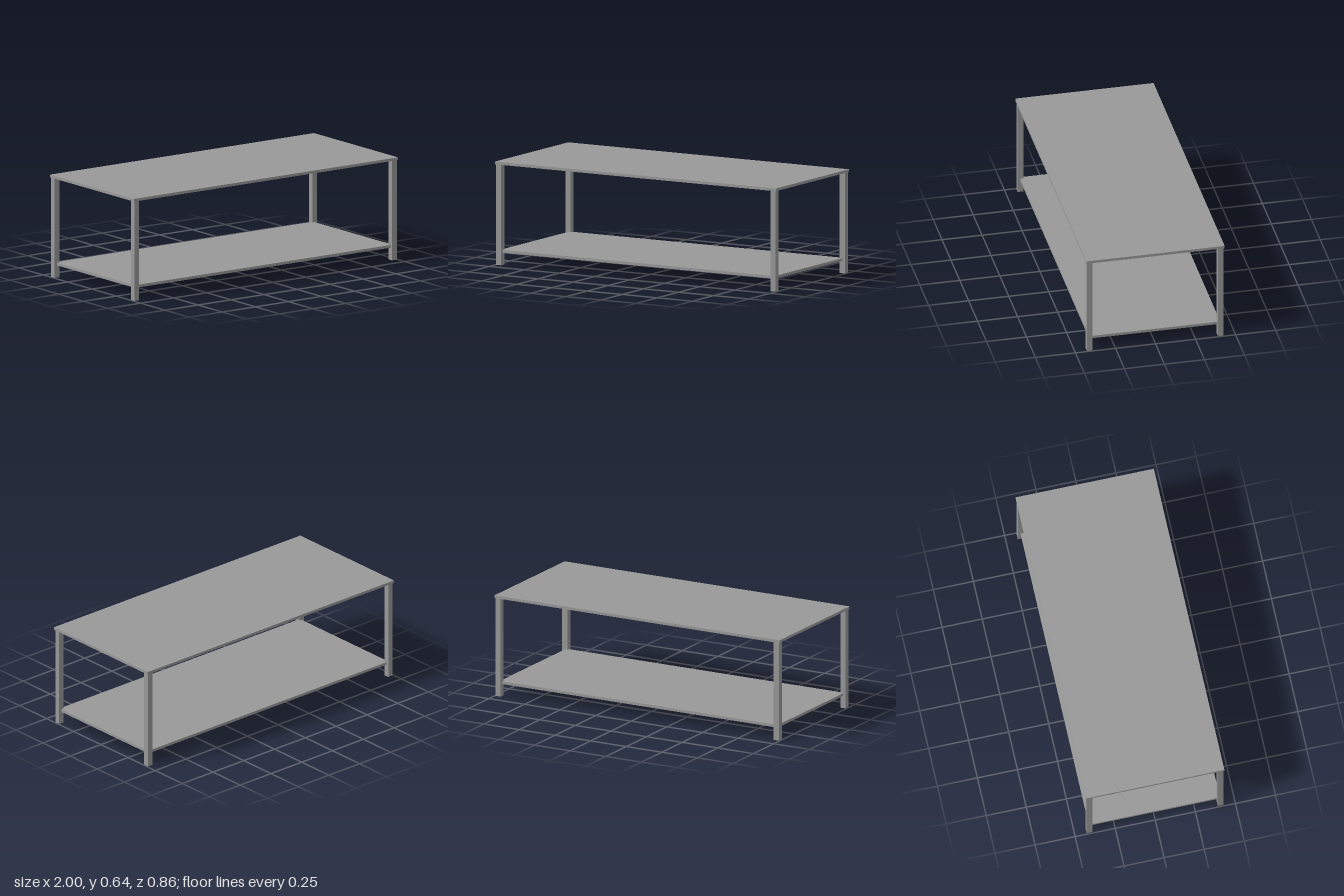
import * as THREE from 'three';

export function createModel() {
  const group = new THREE.Group();
  const grey = new THREE.MeshStandardMaterial({ color: 0x999999 });
  grey.name = 'grey';

  const addBox = (name, [w, h, d], [x, y, z]) => {
    const mesh = new THREE.Mesh(new THREE.BoxGeometry(w, h, d), grey);
    mesh.name = name;
    mesh.position.set(x, y, z);
    group.add(mesh);
  };

  const legWidth = 0.036, legHeight = 0.621, legX = 0.976, legZ = 0.409;
  const thickness = 0.017;

  // Table top, overhanging the legs slightly
  addBox('tableTop', [2, thickness, 0.863], [0, legHeight + thickness / 2, 0]);

  // Lower shelf, its corners set into the middle of the legs
  addBox('lowerShelf', [2 * legX, thickness, 2 * legZ], [0, 0.084, 0]);

  // Four square legs
  for (const [side, sx] of [['Left', 1], ['Right', -1]]) {
    for (const [end, sz] of [['front', 1], ['back', -1]]) {
      addBox(`${end}${side}Leg`, [legWidth, legHeight, legWidth], [sx * legX, legHeight / 2, sz * legZ]);
    }
  }

  return group;
}
